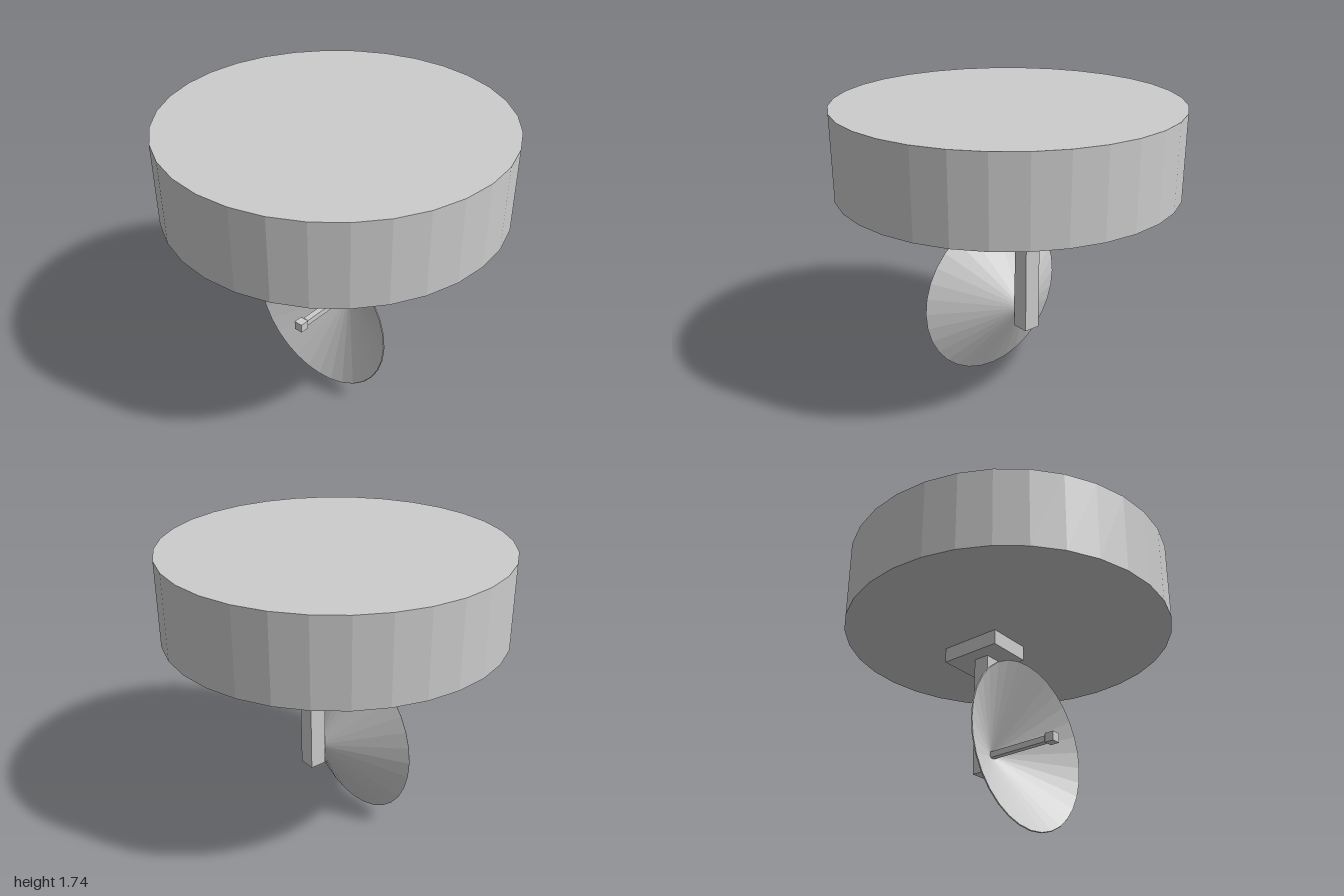
import * as THREE from 'three';

export function createModel() {
  const model = new THREE.Group();
  const grey = new THREE.MeshStandardMaterial({ color: 0xcccccc, flatShading: true });
  const greyThin = new THREE.MeshStandardMaterial({ color: 0xcccccc, flatShading: true, side: THREE.DoubleSide });

  function add(parent, name, geometry, x, y, z = 0, material = grey) {
    const mesh = new THREE.Mesh(geometry, material);
    mesh.name = name;
    mesh.position.set(x, y, z);
    parent.add(mesh);
    return mesh;
  }

  // Wide drum with its mounting plate and hanging post
  add(model, 'drum', new THREE.CylinderGeometry(1, 1, 0.495, 32), 0, 1.4975);
  add(model, 'mountingPlate', new THREE.BoxGeometry(0.4, 0.095, 0.285), 0.19, 1.2025);
  add(model, 'post', new THREE.BoxGeometry(0.102, 0.755, 0.102), 0.174, 0.7775);

  // Dish assembly, opening towards -x with a very slight tilt
  const dish = new THREE.Group();
  dish.name = 'dishAssembly';
  dish.position.set(-0.156, 0.51, 0);
  dish.rotation.z = -0.007;
  model.add(dish);

  // Thin conical shell: inner face, rim, outer face
  const radius = 0.508, depth = 0.3;
  const profile = [
    new THREE.Vector2(0, depth - 0.012),
    new THREE.Vector2(radius - 0.004, 0),
    new THREE.Vector2(radius, 0.005),
    new THREE.Vector2(0, depth),
  ];
  const shell = new THREE.LatheGeometry(profile, 32).rotateZ(-Math.PI / 2);
  add(dish, 'dish', shell, 0, 0, 0, greyThin);

  // Feed arm, tapered collar and receiver block
  add(dish, 'feedArm', new THREE.BoxGeometry(0.42, 0.036, 0.036), 0.08, 0);
  const collar = new THREE.CylinderGeometry(0.028 * Math.SQRT2, 0.02 * Math.SQRT2, 0.01, 4)
    .rotateY(Math.PI / 4).rotateZ(Math.PI / 2);
  add(dish, 'receiverCollar', collar, -0.125, 0);
  add(dish, 'receiver', new THREE.BoxGeometry(0.056, 0.056, 0.056), -0.158, 0);

  return model;
}
